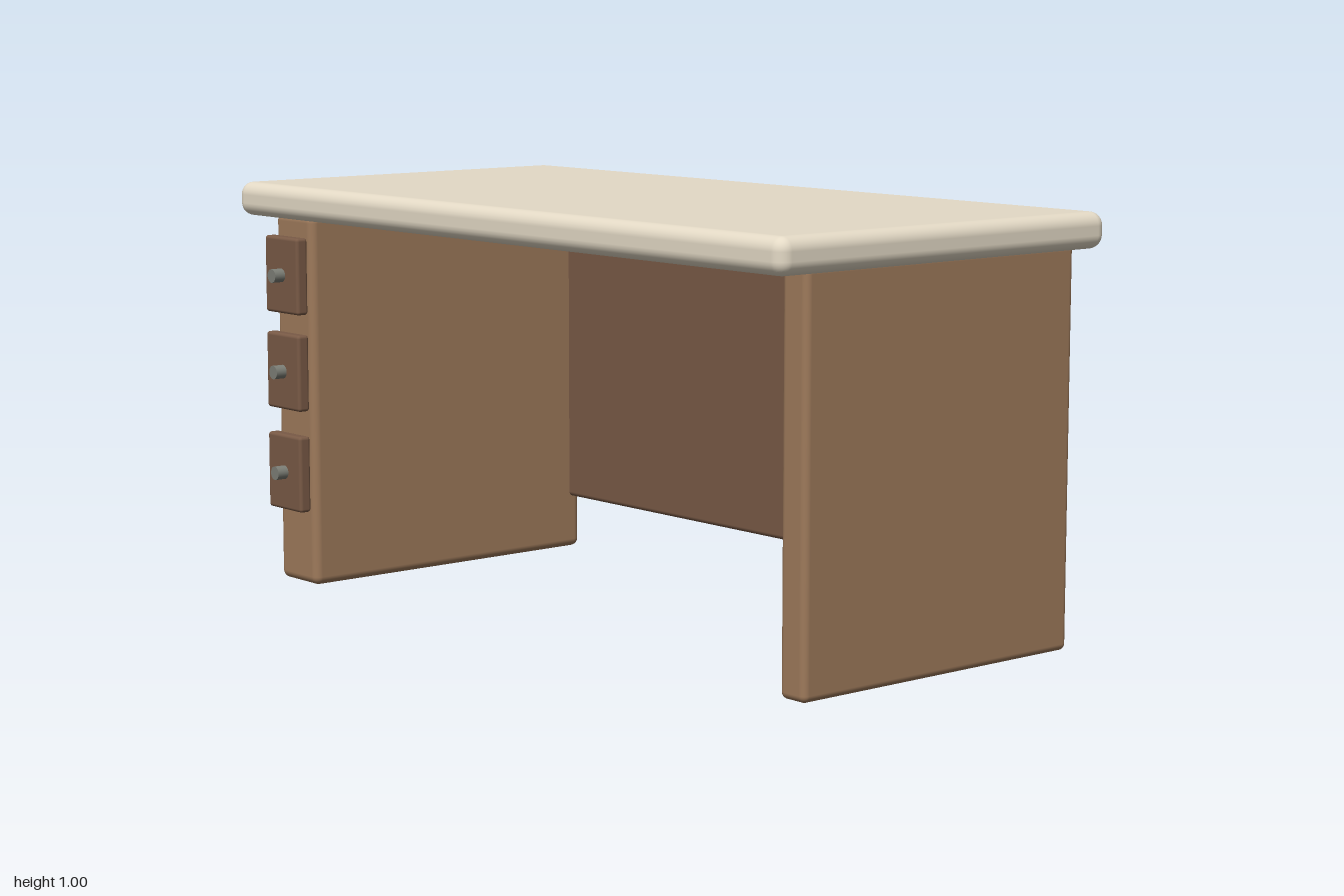
import * as THREE from 'three';
import { RoundedBoxGeometry } from 'three/addons/geometries/RoundedBoxGeometry.js';

const paint = (color) => new THREE.MeshStandardMaterial({ color });

// Rounded board given by its extents on each axis
function board(name, [x0, x1], [y0, y1], [z0, z1], radius, material) {
  const geometry = new RoundedBoxGeometry(x1 - x0, y1 - y0, z1 - z0, 4, radius);
  const mesh = new THREE.Mesh(geometry, material);
  mesh.name = name;
  mesh.position.set((x0 + x1) / 2, (y0 + y1) / 2, (z0 + z1) / 2);
  return mesh;
}

export function createModel() {
  const desk = new THREE.Group();
  desk.name = 'desk';
  const wood = paint(0x9e7a5b);
  const darkWood = paint(0x795a46);
  const stone = paint(0xe4dac6);
  const metal = paint(0x7c7e76);

  // Top slab and its supports
  desk.add(
    board('tabletop', [-1, 1], [0.917, 1], [-0.491, 0.491], 0.031, stone),
    board('drawerPedestal', [-0.93, -0.772], [0, 0.925], [-0.421, 0.426], 0.02, wood),
    board('sidePanel', [0.85, 0.928], [0, 0.925], [-0.464, 0.352], 0.016, wood),
    board('backPanel', [-0.815, 0.815], [0.137, 0.909], [-0.425, -0.385], 0.012, darkWood),
  );

  // Drawer fronts, each with a round knob
  [0.282, 0.535, 0.775].forEach((y) => {
    const drawer = new THREE.Group();
    drawer.name = 'drawer';
    drawer.add(board('drawerFront', [-0.924, -0.782], [y - 0.095, y + 0.095], [0.43, 0.462], 0.008, darkWood));

    const knob = new THREE.Mesh(new THREE.CylinderGeometry(0.017, 0.017, 0.032, 24), metal);
    knob.name = 'knob';
    knob.rotation.x = Math.PI / 2;
    knob.position.set(-0.852, y, 0.475);
    drawer.add(knob);
    desk.add(drawer);
  });

  return desk;
}
